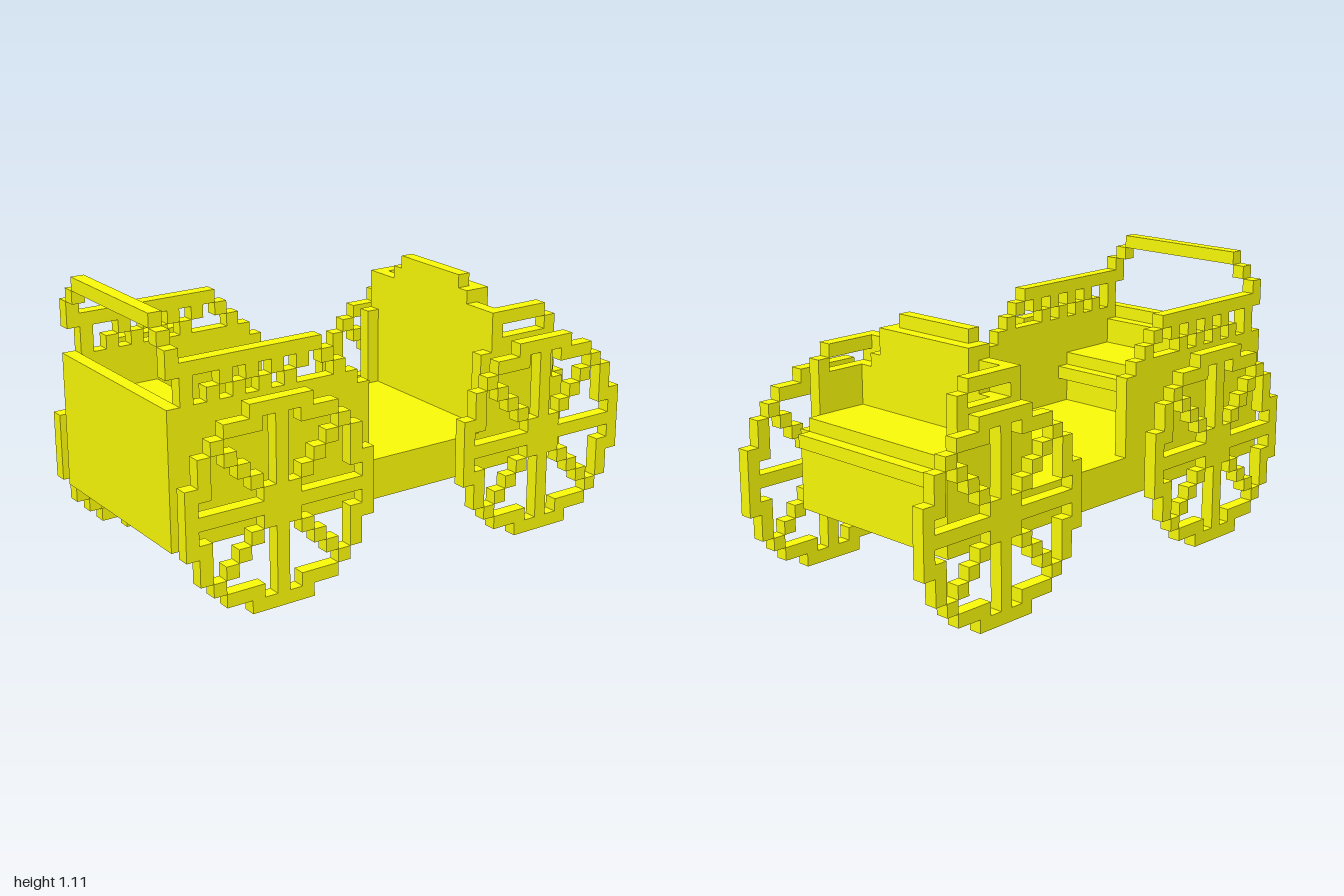
import * as THREE from 'three';

const U = 2 / 38; // one block
const paint = new THREE.MeshStandardMaterial({ color: 0xfdfd08, flatShading: true });

// Box over inclusive block ranges: x counts from the back end (0..37),
// y counts up from the ground, z counts from the centre line (-9..9).
function block(parent, name, x0, x1, y0, y1, z0, z1) {
  const geo = new THREE.BoxGeometry((x1 - x0 + 1) * U, (y1 - y0 + 1) * U, (z1 - z0 + 1) * U);
  const mesh = new THREE.Mesh(geo, paint);
  mesh.name = name;
  mesh.position.set(((x0 + x1 + 1) / 2 - 19) * U, ((y0 + y1 + 1) / 2) * U, ((z0 + z1) / 2) * U);
  parent.add(mesh);
}

function group(parent, name) {
  const g = new THREE.Group();
  g.name = name;
  parent.add(g);
  return g;
}

// Stepped spoked wheel, centred on block (cx, 7)
function wheel(parent, name, cx, z) {
  const g = group(parent, name);
  const put = (part, x0, x1, y0, y1) => block(g, part, cx + x0, cx + x1, 7 + y0, 7 + y1, z, z);
  put('hub', -1, 1, -1, 1);
  for (const s of [-1, 1]) {
    const span = (a, b) => (s > 0 ? [a, b] : [-b, -a]);
    put('rim', -2, 2, 7 * s, 7 * s);
    put('rim', 7 * s, 7 * s, -2, 2);
    put('spoke', 0, 0, ...span(2, 6));
    put('spoke', ...span(2, 6), 0, 0);
    for (const t of [-1, 1]) {
      const tSpan = (a, b) => (t > 0 ? [a, b] : [-b, -a]);
      put('rim', ...span(2, 4), 6 * t, 6 * t);
      put('rim', 6 * s, 6 * s, ...tSpan(2, 4));
      put('rim', 5 * s, 5 * s, 5 * t, 5 * t);
      for (let i = 2; i <= 4; i++) put('diagonalSpoke', i * s, i * s, i * t, i * t);
    }
  }
}

// Side wall and railing of the rear compartment
function rearSide(parent, z) {
  const g = group(parent, 'rearSide');
  const put = (part, x0, x1, y0, y1) => block(g, part, x0, x1, y0, y1, z, z);
  put('rearSideWall', 0, 14, 8, 14);
  put('rearSideWall', 15, 15, 8, 13);
  put('rearRail', 0, 11, 17, 17);
  put('railPost', 1, 1, 15, 16);
  put('railEnd', 12, 12, 16, 16);
  put('railEnd', 13, 13, 15, 15);
  for (let x = 4; x <= 10; x += 2) {
    put('railTrim', x, x, 16, 16);
    put('railTrim', x - 1, x - 1, 15, 15);
  }
}

// Side wall and open armrest of the driver's compartment
function frontSide(parent, z) {
  const g = group(parent, 'frontSide');
  const put = (part, x0, x1, y0, y1) => block(g, part, x0, x1, y0, y1, z, z);
  put('frontSideWall', 26, 26, 8, 13);
  put('frontSideWall', 27, 32, 8, 14);
  put('frontSideWall', 33, 33, 8, 10);
  put('armrest', 27, 31, 16, 16);
  put('armrestPost', 27, 27, 15, 15);
  put('armrestEnd', 32, 32, 15, 15);
}

export function createModel() {
  const root = new THREE.Group();
  root.name = 'carriage';

  block(root, 'floor', 0, 33, 5, 7, -7, 7);

  for (const s of [-1, 1]) {
    rearSide(root, 7 * s);
    frontSide(root, 7 * s);
    wheel(root, 'rearWheel', 7, 9 * s);
    wheel(root, 'frontWheel', 30, 9 * s);
  }

  // Rear end wall and arched hoop
  block(root, 'backWall', 0, 0, 8, 14, -6, 6);
  const hoop = group(root, 'backHoop');
  block(hoop, 'hoopTop', 0, 0, 20, 20, -5, 5);
  for (const s of [-1, 1]) {
    block(hoop, 'hoopCorner', 0, 0, 19, 19, 6 * s, 6 * s);
    block(hoop, 'hoopPost', 0, 0, 18, 18, 7 * s, 7 * s);
  }

  // Rear bench with a lower overhanging front edge
  const rearSeat = group(root, 'rearSeat');
  block(rearSeat, 'backrest', 1, 1, 8, 13, -6, 6);
  block(rearSeat, 'seatBase', 2, 6, 8, 11, -6, 6);
  block(rearSeat, 'seatNose', 7, 7, 10, 10, -6, 6);

  // Driver's bench, the same shape facing forward
  const frontSeat = group(root, 'frontSeat');
  block(frontSeat, 'seatBase', 29, 33, 8, 11, -6, 6);
  block(frontSeat, 'seatNose', 34, 34, 10, 10, -6, 6);

  // Stepped double-thickness backrest
  block(frontSeat, 'backPanel', 27, 27, 8, 16, -6, 6);
  block(frontSeat, 'backPanel', 27, 27, 17, 17, -4, 4);
  block(frontSeat, 'backPanel', 27, 27, 18, 18, -3, 3);
  block(frontSeat, 'backPad', 28, 28, 8, 14, -6, 6);
  block(frontSeat, 'backPad', 28, 28, 15, 15, -5, 5);
  block(frontSeat, 'backPad', 28, 28, 16, 17, -4, 4);

  return root;
}
